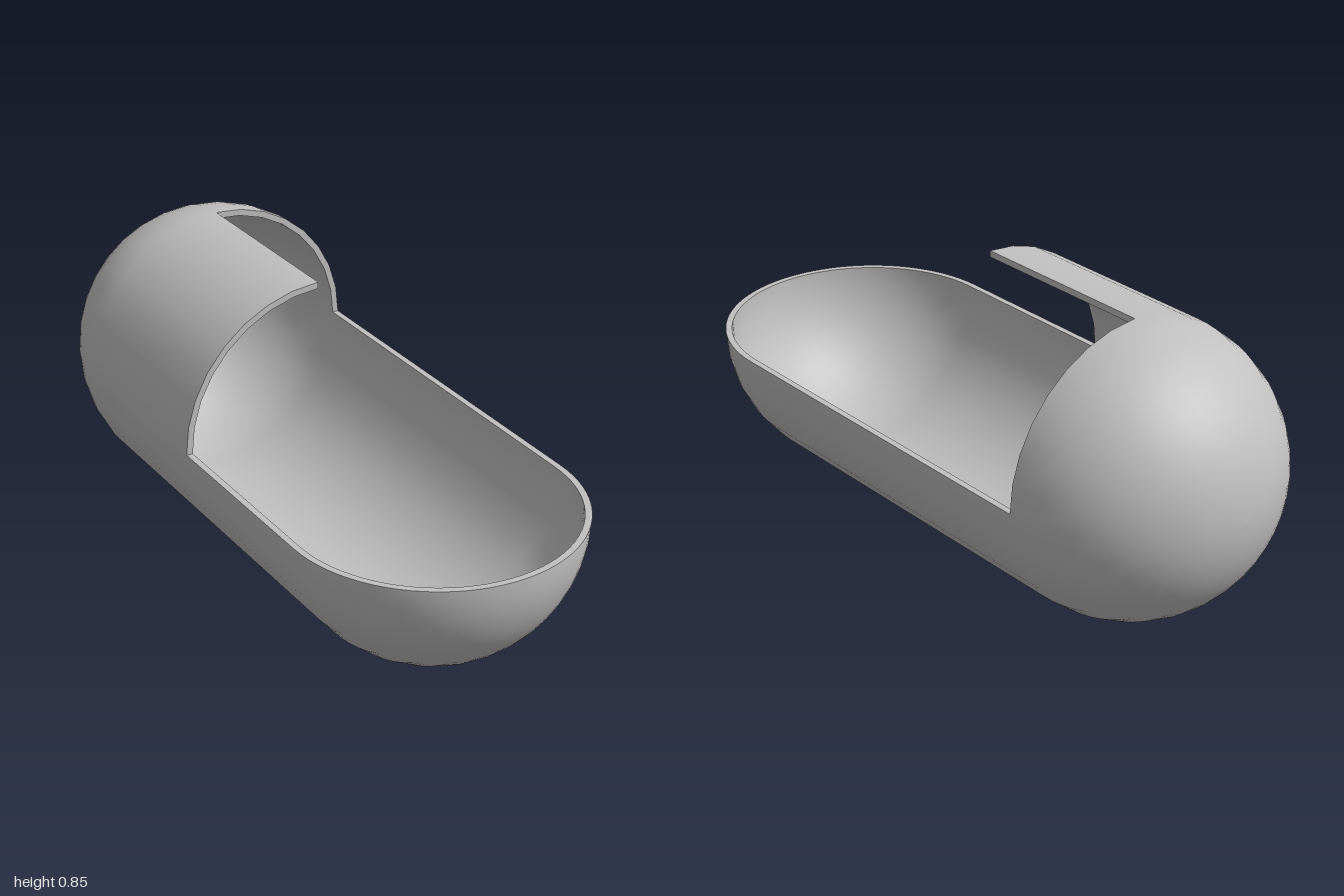
import * as THREE from 'three';

const R = 0.423, r = 0.404;   // outer and inner radius of the shell
const H = 0.577;              // half length of the straight part
const N = 20;                 // steps along each rounded end

// Capsule profile from the back pole to zEnd, or on to the front pole
function profile(radius, zEnd) {
  const pts = [];
  for (let i = 0; i <= N; i++) {
    const a = (i / N) * Math.PI / 2;
    pts.push(new THREE.Vector2(radius * Math.sin(a), -H - radius * Math.cos(a)));
  }
  pts[0].x = 0;
  if (zEnd === undefined) {
    const back = pts.slice().reverse();
    back.forEach(p => pts.push(new THREE.Vector2(p.x, -p.y)));
  } else if (zEnd > -H) {
    pts.push(new THREE.Vector2(radius, zEnd));
  }
  return pts;
}

export function createModel() {
  const model = new THREE.Group();
  const grey = new THREE.MeshStandardMaterial({ color: 0xc0c0c0 });
  grey.name = 'shell grey';

  const add = (name, geometry, parent) => {
    const mesh = new THREE.Mesh(geometry, grey);
    mesh.name = name;
    parent.add(mesh);
    return mesh;
  };

  // Surface swept round the z axis; angle 0 points down, PI / 2 points to +x
  const sweep = (pts, start, length) =>
    new THREE.LatheGeometry(pts, Math.round(length / Math.PI * 16), start, length).rotateX(Math.PI / 2);

  // Thin shell section with outer wall, inner wall and an optional front rim
  const shell = (name, start, length, zEnd) => {
    const part = new THREE.Group();
    part.name = name;
    part.position.y = R;
    add(name + 'Outside', sweep(profile(R, zEnd), start, length), part);
    add(name + 'Inside', sweep(profile(r, zEnd).reverse(), start, length), part);
    if (zEnd !== undefined) {
      const rim = [new THREE.Vector2(R, zEnd), new THREE.Vector2(r, zEnd)];
      add(name + 'Rim', sweep(rim, start, length), part);
    }
    model.add(part);
  };

  shell('lowerHull', -Math.PI / 2, Math.PI);
  shell('openDome', Math.PI / 2, Math.PI / 2, -H);
  shell('halfCover', Math.PI, Math.PI / 2, 0);

  // Flat U-shaped lip on top of the lower hull
  const lip = new THREE.Shape();
  lip.moveTo(R, H);
  lip.lineTo(R, -H);
  lip.absarc(0, -H, R, 0, -Math.PI, true);
  lip.lineTo(-R, 0);
  lip.lineTo(-r, 0);
  lip.lineTo(-r, -H);
  lip.absarc(0, -H, r, -Math.PI, 0, false);
  lip.lineTo(r, H);
  add('hullLip', new THREE.ShapeGeometry(lip, N).rotateX(-Math.PI / 2), model).position.y = R;

  // Cut edge along the top of the half cover
  add('coverEdge', new THREE.PlaneGeometry(H, R - r).rotateY(Math.PI / 2), model)
    .position.set(0, R + (R + r) / 2, -H / 2);

  return model;
}
